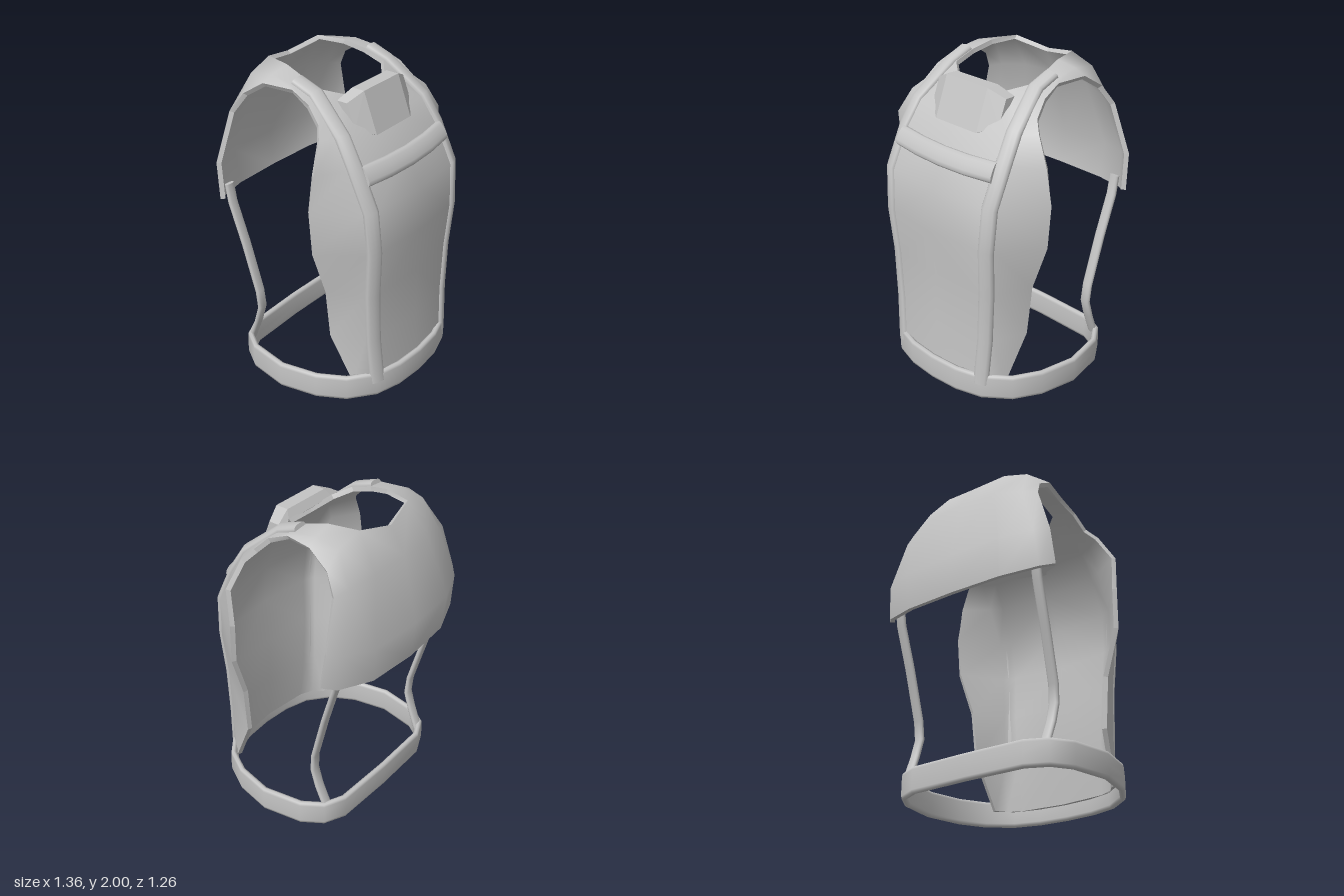
import * as THREE from 'three';
import { ConvexGeometry } from 'three/addons/geometries/ConvexGeometry.js';

const V = (x, y, z) => new THREE.Vector3(x, y, z);

// Half cross-sections of the vest, each as centre line, inner rib edge, outer rib edge, side edge.
// Chest: level sections that curve back a little towards the ribs
const chestRow = (y, z, xIn, xOut, xSide, zSide) =>
  [V(0, y, z), V(xIn, y, z - .03), V(xOut, y, z - .075), V(xSide, y, zSide)];

// Back: sections bending evenly from the centre line to the side edge
const backRow = (y, z, xIn, xOut, xSide, ySide, zSide) => {
  const centre = V(0, y, z), side = V(xSide, ySide, zSide);
  return [centre, centre.clone().lerp(side, .12).setX(xIn),
    centre.clone().lerp(side, .6).setX(xOut), side];
};

// Collar and shoulder straps, from the chest over to the nape
const collarRows = [
  [V(0, 1.72, .335), V(.36, 1.72, .325), V(.455, 1.72, .29), V(.535, 1.73, .24)],
  [V(0, 1.87, .17), V(.2, 1.88, .16), V(.42, 1.84, .16), V(.475, 1.79, .19)],
  [V(0, 1.9, .08), V(.3, 1.92, .08), V(.41, 1.905, .07), V(.45, 1.88, .1)],
  [V(0, 1.9, -.06), V(.3, 1.965, -.06), V(.41, 1.955, -.06), V(.435, 1.935, -.03)],
  [V(0, 1.9, -.2), V(.275, 2, -.2), V(.4, 1.975, -.21), V(.47, 1.94, -.22)],
  [V(0, 1.955, -.43), V(.23, 2, -.38), V(.4, 1.95, -.37), V(.49, 1.85, -.36)],
];

const rows = [
  chestRow(.1, .595, .31, .41, .47, .44),
  chestRow(.42, .575, .33, .43, .51, .29),
  chestRow(.75, .575, .35, .44, .54, .28),
  chestRow(1.05, .595, .365, .46, .64, .265),
  chestRow(1.32, .575, .38, .47, .65, .25),
  chestRow(1.56, .46, .375, .47, .635, .28),
  ...collarRows,
  backRow(1.79, -.53, .26, .44, .53, 1.73, -.44),
  backRow(1.37, -.63, .36, .56, .635, 1.42, -.47),
  backRow(1.13, -.61, .35, .58, .65, 1.19, -.44),
];
const COLS = 7;

// Grid skin with an even thickness; cells for which isHole is true stay open
function vestGeometry(thickness, isHole) {
  const mirror = p => V(-p.x, p.y, p.z);
  const outer = rows.flatMap(([c, a, b, e]) => [...[e, b, a].map(mirror), c, a, b, e]);
  const n = outer.length, tris = [];
  for (let r = 0; r < rows.length - 1; r++) {
    for (let c = 0; c < COLS - 1; c++) {
      if (isHole(r, c)) continue;
      const i = r * COLS + c, j = i + COLS;
      // mirror the diagonal on the two halves
      if (c < 3) tris.push([i, i + 1, j + 1], [i, j + 1, j]);
      else tris.push([i, i + 1, j], [i + 1, j + 1, j]);
    }
  }
  const skin = new THREE.BufferGeometry().setFromPoints(outer);
  skin.setIndex(tris.flat());
  skin.computeVertexNormals();
  const normal = skin.attributes.normal;
  const inner = outer.map((p, i) =>
    p.clone().addScaledVector(V(normal.getX(i), normal.getY(i), normal.getZ(i)), -thickness));
  const points = [...outer, ...inner];
  const index = [...tris.flat(), ...tris.flatMap(([a, b, c]) => [a + n, c + n, b + n])];
  // rim along every open edge
  const edges = new Set(tris.flatMap(([a, b, c]) => [`${a},${b}`, `${b},${c}`, `${c},${a}`]));
  for (const key of edges) {
    const [u, v] = key.split(',').map(Number);
    if (edges.has(`${v},${u}`)) continue;
    const k = points.length;
    points.push(outer[v], outer[u], inner[u], inner[v]);
    index.push(k, k + 1, k + 2, k, k + 2, k + 3);
  }
  const geometry = new THREE.BufferGeometry().setFromPoints(points);
  geometry.setIndex(index);
  geometry.computeVertexNormals();
  return geometry;
}

// Flat rounded band along a path; sides gives the width direction at each point.
// A lower power makes the section boxier.
function bandGeometry(path, sides, halfW, halfT, { closed = false, power = .8 } = {}) {
  const N = 12, count = path.length, points = [], index = [];
  const round = v => Math.sign(v) * Math.abs(v) ** power;
  path.forEach((p, i) => {
    const prev = closed ? path[(i + count - 1) % count] : path[Math.max(i - 1, 0)];
    const next = closed ? path[(i + 1) % count] : path[Math.min(i + 1, count - 1)];
    const tangent = next.clone().sub(prev).normalize();
    const side = sides[i].clone();
    side.addScaledVector(tangent, -side.dot(tangent)).normalize();
    const up = tangent.clone().cross(side);
    for (let j = 0; j < N; j++) {
      const t = j / N * Math.PI * 2;
      points.push(p.clone().addScaledVector(side, halfW * round(Math.cos(t)))
        .addScaledVector(up, halfT * round(Math.sin(t))));
    }
  });
  const spans = closed ? count : count - 1;
  for (let i = 0; i < spans; i++) {
    for (let j = 0; j < N; j++) {
      const k = (j + 1) % N, m = (i + 1) % count;
      const a = i * N + j, b = i * N + k, c = m * N + j, d = m * N + k;
      index.push(a, b, c, b, d, c);
    }
  }
  if (!closed) {
    for (const last of [false, true]) {
      const start = points.length, from = last ? (count - 1) * N : 0;
      for (let j = 0; j < N; j++) points.push(points[from + j].clone());
      for (let j = 1; j < N - 1; j++) {
        index.push(start, start + (last ? j : j + 1), start + (last ? j + 1 : j));
      }
    }
  }
  const geometry = new THREE.BufferGeometry().setFromPoints(points);
  geometry.setIndex(index);
  geometry.computeVertexNormals();
  return geometry;
}

export function createModel() {
  const group = new THREE.Group();
  group.name = 'harnessVest';
  const grey = new THREE.MeshStandardMaterial({ color: 0xc4c4c4 });
  grey.name = 'light grey';
  const add = (name, geometry) => {
    const mesh = new THREE.Mesh(geometry, grey);
    mesh.name = name;
    group.add(mesh);
  };
  const addBand = (name, path, side, ...size) =>
    add(name, bandGeometry(path, path.map(() => side), ...size));

  // Chest, shoulders and back with the neck opening
  add('vestShell', vestGeometry(.03, (r, c) => r >= 7 && r <= 10 && (c === 2 || c === 3)));

  // Raised ribs running up the chest and over the shoulders, skipping the neckline row
  const ribRows = rows.slice(0, 10).filter((_, i) => i !== 7);
  for (const s of [1, -1]) {
    const flip = V(s, 1, 1);
    const path = ribRows.map(([, a, b]) => a.clone().lerp(b, .5).multiply(flip));
    const sides = ribRows.map(([, a, b]) => b.clone().sub(a).multiply(flip));
    add(s > 0 ? 'leftRib' : 'rightRib', bandGeometry(path, sides, .05, .028));
  }

  // Bar across the chest between the ribs, bowed forward
  const bar = [-.4, -.2, 0, .2, .4].map(x => V(x, 1.512 + .05 * x * x, .488 - .2 * x * x));
  addBand('chestBar', bar, V(0, .84, -.54), .063, .026);

  // Wedge-shaped pouch at the collar
  const pouch = [1, -1].flatMap(s => [
    V(s * .17, 1.67, .375), V(s * .17, 1.92, .28), V(s * .17, 1.92, .195), V(s * .17, 1.66, .34),
    V(s * .28, 1.87, .24), V(s * .28, 1.87, .17), V(s * .28, 1.72, .3), V(s * .2, 1.87, .16),
  ]);
  add('collarPouch', new ConvexGeometry(pouch));

  // Waist belt, a closed hoop with a flattened back
  const half = [[.2, .595], [.37, .545], [.52, .425], [.61, .26], [.658, .02],
    [.61, -.24], [.53, -.36], [.4, -.42]];
  const hoop = [[0, .61], ...half, [0, -.43], ...half.map(([x, z]) => [-x, z]).reverse()];
  addBand('waistBelt', hoop.map(([x, z]) => V(x, .085, z)), V(0, 1, 0), .085, .02,
    { closed: true, power: .45 });

  // Thin straps joining the back hem to the belt
  const strap = [[.53, 1.24, -.475], [.53, 1.12, -.455], [.52, .85, -.37], [.51, .52, -.28],
    [.505, .4, -.27], [.505, .28, -.305], [.5, .12, -.37]];
  for (const s of [1, -1]) {
    addBand(s > 0 ? 'leftBackStrap' : 'rightBackStrap',
      strap.map(([x, y, z]) => V(s * x, y, z)), V(1, 0, 0), .034, .017);
  }
  return group;
}
